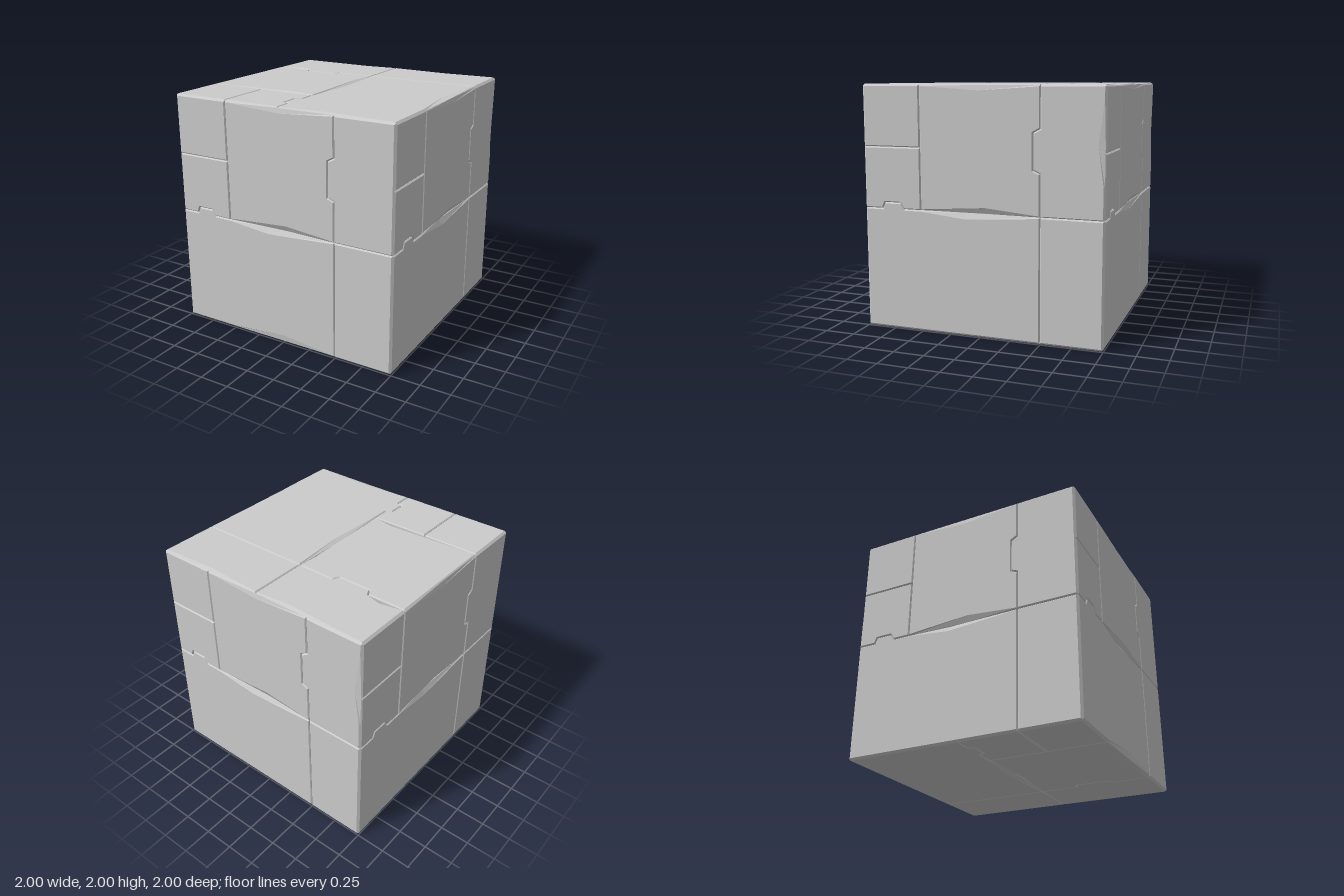
import * as THREE from 'three';

const EDGE = 0.018;   // chamfer along the cube's edges
const BEVEL = 0.01;   // bevel along the seams
const GAP = 0.0015;   // half the seam width
const DEPTH = 0.03;   // seam depth

// Panel outlines on one face, counter-clockwise, face spanning -1..1
const PANELS = {
  smallUpperPanel: [[-1, 0.5], [-0.5, 0.5], [-0.5, 1], [-1, 1]],
  smallNotchedPanel: [[-1, 0], [-0.84, 0], [-0.82, 0.05], [-0.68, 0.05], [-0.65, 0], [-0.5, 0], [-0.5, 0.5], [-1, 0.5]],
  squarePanel: [[-0.5, 0], [0.495, 0], [0.495, 0.33], [0.44, 0.355], [0.44, 0.64], [0.495, 0.67], [0.495, 1], [-0.5, 1]],
  tallPanel: [[0.495, 0], [1, 0], [1, 1], [0.495, 1], [0.495, 0.67], [0.44, 0.64], [0.44, 0.355], [0.495, 0.33]],
  widePanel: [[-1, -1], [0.495, -1], [0.495, 0], [-0.65, 0], [-0.68, 0.05], [-0.82, 0.05], [-0.84, 0], [-1, 0]],
  cornerPanel: [[0.495, -1], [1, -1], [1, 0], [0.495, 0]],
};

// Worn chips: points added on an outline edge, with the width worn away there
const SIDE_CHIPS = {
  squarePanel: [[0.05, 0, 0.05], [0, 1, 0.05]],
  widePanel: [[-0.5, 0], [-0.12, 0, 0.05]],
};
const EDGE_CHIP = { tallPanel: [[1, 0.25], [1, 0.56, 0.06], [1, 0.9]] };
const FOOT_CHIP = { widePanel: [...SIDE_CHIPS.widePanel, [-0.5, -1], [0, -1, 0.065]] };
const TOP_CHIPS = {
  squarePanel: [[0.3, 0, 0.035], [-0.5, 0.2, 0.045]],
  tallPanel: [[1, 0.3, 0.045], [0.495, 0.8, 0.045]],
  cornerPanel: [[1, -0.5, 0.045]],
  widePanel: [[-0.5, 0], [0, 0, 0.04], [-0.5, -1], [-0.05, -1, 0.07], [-1, -0.45, 0.045]],
};

const isRim = (a, b) => [0, 1].some(k => Math.abs(a[k]) > 0.999 && a[k] === b[k]);

// Insert chip points in the edges they lie on
function addChips(outline, chips) {
  const pts = outline.slice();
  for (const c of chips) {
    const i = pts.findIndex((a, n) => {
      const b = pts[(n + 1) % pts.length];
      const ab = Math.hypot(b[0] - a[0], b[1] - a[1]);
      return Math.hypot(c[0] - a[0], c[1] - a[1]) + Math.hypot(b[0] - c[0], b[1] - c[1]) - ab < 1e-6;
    });
    pts.splice(i + 1, 0, c);
  }
  return pts;
}

// Move the outline inward, by one amount at seams and another at the cube's rim
function inset(pts, seam, rim, worn) {
  return pts.map((p, i) => {
    const prev = pts[(i + pts.length - 1) % pts.length], next = pts[(i + 1) % pts.length];
    const side = (a, b) => {
      const l = Math.hypot(b[0] - a[0], b[1] - a[1]);
      return [-(b[1] - a[1]) / l, (b[0] - a[0]) / l, isRim(a, b) ? rim : seam];
    };
    const m = side(prev, p), n = side(p, next);
    const det = m[0] * n[1] - m[1] * n[0];
    if (Math.abs(det) < 1e-4) {
      const w = worn && p[2] ? p[2] : m[2];
      return [p[0] + m[0] * w, p[1] + m[1] * w];
    }
    return [p[0] + (m[2] * n[1] - n[2] * m[1]) / det, p[1] + (m[0] * n[2] - n[0] * m[2]) / det];
  });
}

function panelGeometry(outline, chips = []) {
  const pts = addChips(outline, chips);
  const onRim = p => Math.abs(p[0]) > 0.999 || Math.abs(p[1]) > 0.999;
  const base = inset(pts, GAP, DEPTH).map(p => [...p, 1 - DEPTH]);
  const mid = inset(pts, GAP, EDGE / 2).map((p, i) => [
    ...p, 1 - (onRim(pts[i]) ? EDGE / 2 : pts[i][2] ? Math.min(pts[i][2] * 0.5, 0.026) : BEVEL)]);
  const top = inset(pts, BEVEL, EDGE, true).map(p => [...p, 1]);
  const pos = [];
  // Walls and bevels between the rings
  for (const [lo, hi] of [[base, mid], [mid, top]]) {
    lo.forEach((a, i) => {
      const j = (i + 1) % lo.length;
      pos.push(...a, ...lo[j], ...hi[j], ...a, ...hi[j], ...hi[i]);
    });
  }
  // Flat panel surface
  const flat = top.map(p => new THREE.Vector2(p[0], p[1]));
  for (const t of THREE.ShapeUtils.triangulateShape(flat, [])) for (const k of t) pos.push(...top[k]);
  const g = new THREE.BufferGeometry();
  g.setAttribute('position', new THREE.Float32BufferAttribute(pos, 3));
  g.computeVertexNormals();
  return g;
}

export function createModel() {
  const model = new THREE.Group();
  model.name = 'panelledBlock';
  const material = new THREE.MeshStandardMaterial({ color: 0xcccccc, flatShading: true });

  // Solid core forming the bottom of the seams
  const size = 2 - 2 * DEPTH;
  const core = new THREE.Mesh(new THREE.BoxGeometry(size, size, size), material);
  core.name = 'core';
  core.position.y = 1;
  model.add(core);

  // The same panel layout turned onto all six faces
  const q = Math.PI / 2;
  const faces = [
    ['frontFace', [0, 0, 0], { ...SIDE_CHIPS, ...FOOT_CHIP }],
    ['leftFace', [0, q, 0], { ...SIDE_CHIPS, ...EDGE_CHIP }],
    ['backFace', [0, 2 * q, 0], { ...SIDE_CHIPS, ...EDGE_CHIP }],
    ['rightFace', [0, -q, 0], SIDE_CHIPS],
    ['topFace', [-q, 0, q], TOP_CHIPS],
    ['bottomFace', [q, 0, 0], SIDE_CHIPS],
  ];
  for (const [name, rotation, chips] of faces) {
    const face = new THREE.Group();
    face.name = name;
    face.position.y = 1;
    face.rotation.set(...rotation);
    for (const [part, outline] of Object.entries(PANELS)) {
      const mesh = new THREE.Mesh(panelGeometry(outline, chips[part]), material);
      mesh.name = part;
      face.add(mesh);
    }
    model.add(face);
  }
  return model;
}
